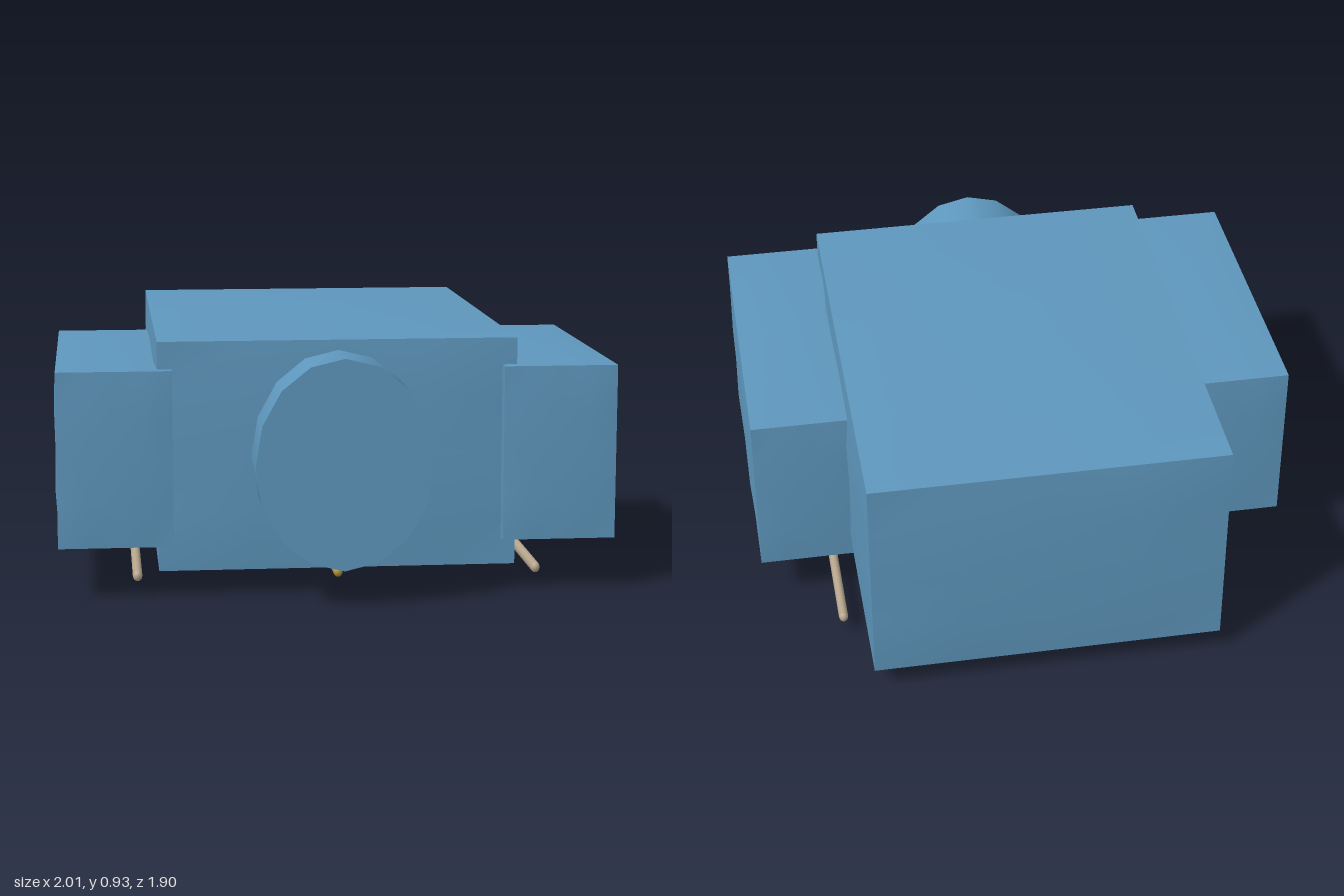
import * as THREE from 'three';

const mat = (name, color) => new THREE.MeshStandardMaterial({ name, color });

// Bulge across a face: zero at the edges, highest halfway out, dipped in the middle
const bulge = (t) => {
  const a = Math.abs(t);
  return a < 0.5 ? 0.7 + 0.6 * a : 2 * (1 - a);
};

// Sharp-edged box whose six faces swell slightly
function softBox(w, h, d, amount) {
  const geo = new THREE.BoxGeometry(w, h, d, 4, 4, 4);
  const pos = geo.attributes.position;
  const half = [w / 2, h / 2, d / 2];
  for (let i = 0; i < pos.count; i++) {
    const t = half.map((s, a) => pos.getComponent(i, a) / s);
    for (let a = 0; a < 3; a++) {
      if (Math.abs(t[a]) < 0.999) continue;
      const swell = amount * bulge(t[(a + 1) % 3]) * bulge(t[(a + 2) % 3]);
      pos.setComponent(i, a, t[a] * (half[a] + swell));
    }
  }
  geo.computeVertexNormals();
  return geo;
}

export function createModel() {
  const model = new THREE.Group();
  model.name = 'model';

  const blue = mat('blue', 0x5e97bd);
  const gold = mat('gold', 0xb8963e);
  const paleGold = mat('paleGold', 0xd2b877);
  const tan = mat('tan', 0xb8a78e);

  const add = (name, geo, material, x, y, z) => {
    const mesh = new THREE.Mesh(geo, material);
    mesh.name = name;
    mesh.position.set(x, y, z);
    model.add(mesh);
    return mesh;
  };

  // Main block
  add('body', softBox(1.276, 0.82, 1.65, 0.018), blue, 0, 0.505, -0.105);

  // Oval drum on the front
  const drum = new THREE.CylinderGeometry(1, 1, 0.35, 16).rotateX(Math.PI / 2);
  drum.scale(0.31, 0.373, 1);
  drum.computeVertexNormals();
  add('frontDrum', drum, blue, 0, 0.506, 0.773);

  // Round-ended rod running front to back
  const rod = new THREE.CapsuleGeometry(0.018, 1.32, 4, 10).rotateX(Math.PI / 2);
  rod.scale(0.95, 1.12, 1);

  // Side blocks and lower rails
  for (const [side, s] of [['left', 1], ['right', -1]]) {
    add(side + 'SideBlock', softBox(0.406, 0.626, 1.146, 0.01), blue, s * 0.79, 0.505, 0.191);
    add(side + 'Rail', rod, tan, s * 0.715, 0.079, 0.056);
  }

  // Centre keel: rod, flattened disc and two beads
  add('keelRod', rod, gold, 0, 0.079, 0.056);
  const disc = new THREE.SphereGeometry(1, 20, 12).scale(0.208, 0.046, 0.245);
  add('keelDisc', disc, gold, 0, 0.052, 0.005);
  for (const z of [0.395, -0.28]) {
    add('keelBead', new THREE.SphereGeometry(0.04, 14, 10), paleGold, 0, 0.063, z);
  }

  return model;
}
